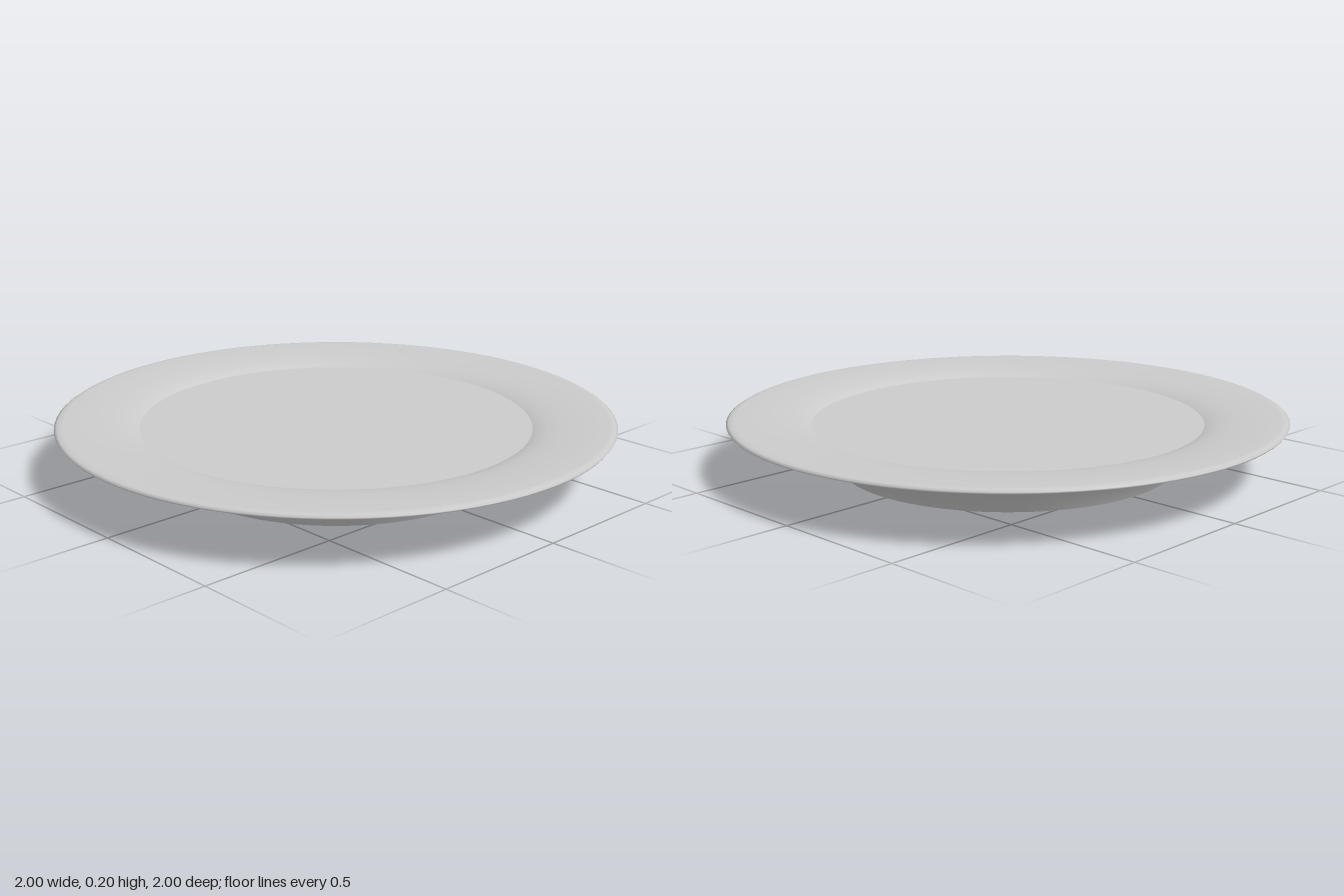
import * as THREE from 'three';

const SEGMENTS = 96;

// Revolves a list of [radius, height] points around the y axis
function revolve(name, points, material) {
  const profile = points.map(([r, y]) => new THREE.Vector2(r, y));
  const mesh = new THREE.Mesh(new THREE.LatheGeometry(profile, SEGMENTS), material);
  mesh.name = name;
  return mesh;
}

export function createModel() {
  const group = new THREE.Group();
  group.name = 'plate';
  const material = new THREE.MeshStandardMaterial({ color: 0xcccccc, side: THREE.DoubleSide });

  // Nearly flat base, with a faint rise towards its edge
  group.add(revolve('base', [[0, 0], [0.52, 0], [0.605, 0.008]], material));

  // Flared underside, sweeping out to the rim
  group.add(revolve('underside', [
    [0.605, 0.008], [0.655, 0.09], [0.73, 0.155], [0.85, 0.18], [0.95, 0.186], [0.995, 0.188],
  ], material));

  // Thin rounded lip and the shallow slope into the well
  group.add(revolve('rim', [
    [0.995, 0.188], [1, 0.195], [0.99, 0.201], [0.97, 0.204],
    [0.9, 0.201], [0.82, 0.196], [0.76, 0.188], [0.725, 0.179], [0.704, 0.17],
  ], material));

  // Flat round surface in the middle
  const well = new THREE.Mesh(new THREE.CircleGeometry(0.704, SEGMENTS), material);
  well.name = 'well';
  well.rotation.x = -Math.PI / 2;
  well.position.y = 0.17;
  group.add(well);

  return group;
}
